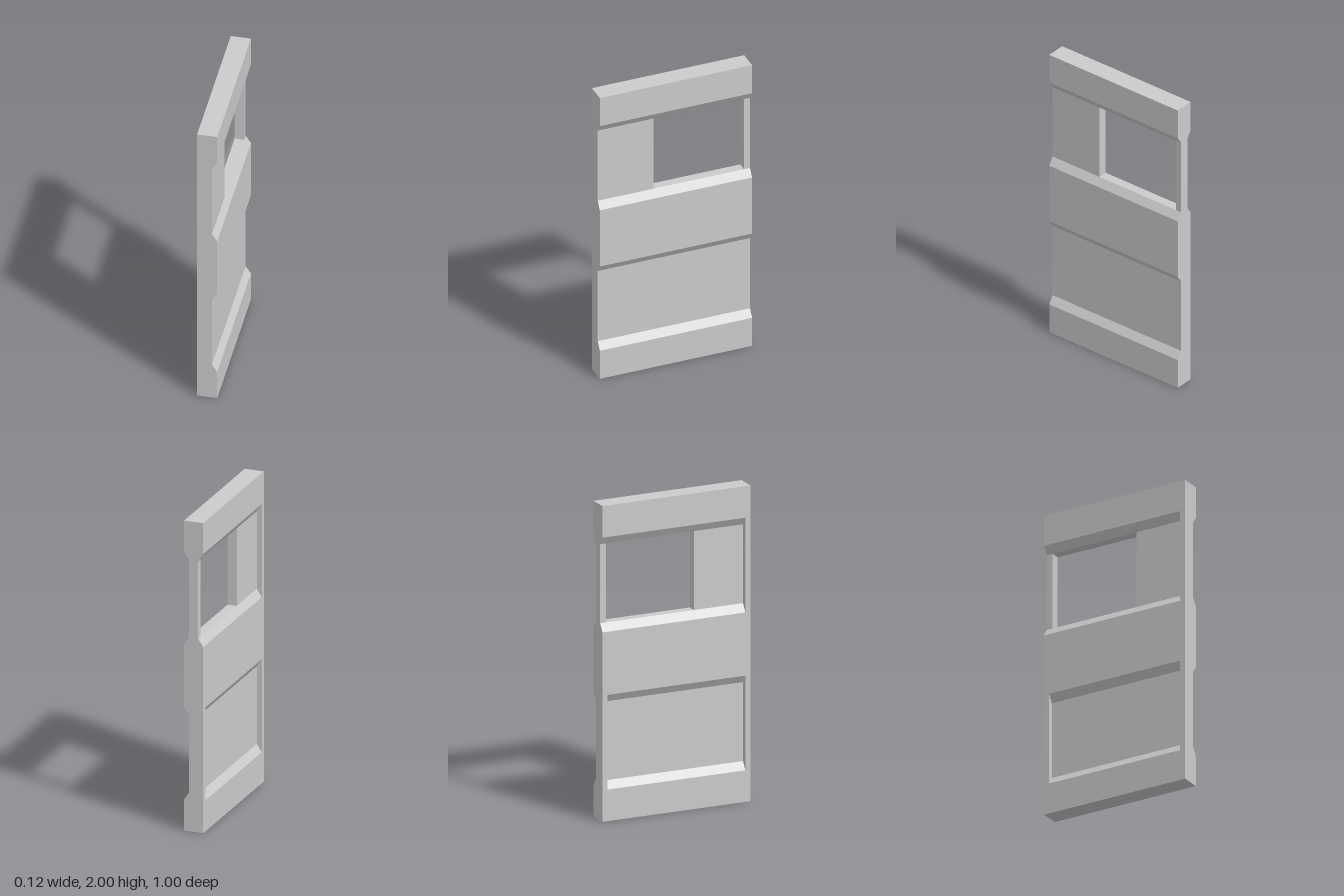
import * as THREE from 'three';
import { mergeGeometries } from 'three/addons/utils/BufferGeometryUtils.js';

const T = 0.0625;   // half thickness of the raised bands
const D = 0.03;     // half thickness inside the recesses
const END = 0.5;    // half width
const RIM = 0.465;  // edge of the closed recesses on the -x face
const WIN = [-0.46, 0.135]; // window opening along z

// Bevelled recess outline on the +x side, bottom to top
const recess = y => [[T, y], [D, y + 0.05], [D, y + 0.55], [T, y + 0.6]];
const lower = recess(0.2), upper = recess(1.2);
const mirror = pts => pts.map(([x, y]) => [-x, y]).reverse();

// Counter-clockwise outline: +x side always recessed, -x side by choice
const outline = (...backRecesses) => [
  [T, 0], ...lower, ...upper, [T, 2],
  ...mirror([[T, 0], ...backRecesses.flat(), [T, 2]]),
];

// Open-ended sweep of a closed outline from z0 to z1
function sweep(pts, z0, z1) {
  const pos = [];
  pts.forEach(([ax, ay], i) => {
    const [bx, by] = pts[(i + 1) % pts.length];
    pos.push(ax, ay, z1, ax, ay, z0, bx, by, z0);
    pos.push(ax, ay, z1, bx, by, z0, bx, by, z1);
  });
  const g = new THREE.BufferGeometry();
  g.setAttribute('position', new THREE.Float32BufferAttribute(pos, 3));
  g.computeVertexNormals();
  return g;
}

// Flat face at z, facing +z or -z
function face(pts, z, dir) {
  const shape = new THREE.Shape(pts.map(([x, y]) => new THREE.Vector2(x, y)));
  const g = new THREE.ShapeGeometry(shape).toNonIndexed();
  g.deleteAttribute('uv');
  if (dir < 0) g.scale(1, 1, -1).rotateY(0);
  if (dir < 0) {
    // reverse the corner order so the face looks toward -z
    const p = g.attributes.position;
    for (let i = 0; i < p.count; i += 3) {
      const b = [p.getX(i + 1), p.getY(i + 1), p.getZ(i + 1)];
      p.setXYZ(i + 1, p.getX(i + 2), p.getY(i + 2), p.getZ(i + 2));
      p.setXYZ(i + 2, ...b);
    }
    g.computeVertexNormals();
  }
  return g.translate(0, 0, z);
}

export function createModel() {
  const group = new THREE.Group();
  const material = new THREE.MeshStandardMaterial({ color: 0xcccccc, flatShading: true });
  const add = (name, parts) => {
    const mesh = new THREE.Mesh(mergeGeometries(parts), material);
    mesh.name = name;
    group.add(mesh);
  };

  // Panel skin: the upper back recess runs out through the -z end
  const full = outline(lower, upper);
  const belowWindow = [[T, 0], ...lower, ...upper.slice(0, 2)];
  const aboveWindow = [...upper.slice(2), [T, 2]];
  add('wallPanel', [
    sweep(outline(upper), -END, -RIM),
    sweep(full, -RIM, WIN[0]),
    sweep([...belowWindow, ...mirror(belowWindow)], ...WIN),
    sweep([...aboveWindow, ...mirror(aboveWindow)], ...WIN),
    sweep(full, WIN[1], RIM),
    sweep(outline(), RIM, END),
  ]);

  // Narrow ends
  add('panelEnds', [face(outline(), END, 1), face(outline(upper), -END, -1)]);

  // Side walls of the closed back recesses
  const wall = pts => mirror([[T, pts[0][1]], ...pts.slice(1, 3), [T, pts[3][1]]]);
  add('recessWalls', [
    face(wall(lower), RIM, -1),
    face(wall(upper), RIM, -1),
    face(wall(lower), -RIM, 1),
  ]);

  // Upright sides of the window opening
  const jamb = [[-D, 1.25], [D, 1.25], [D, 1.75], [-D, 1.75]];
  add('windowJambs', [face(jamb, WIN[0], 1), face(jamb, WIN[1], -1)]);

  return group;
}
